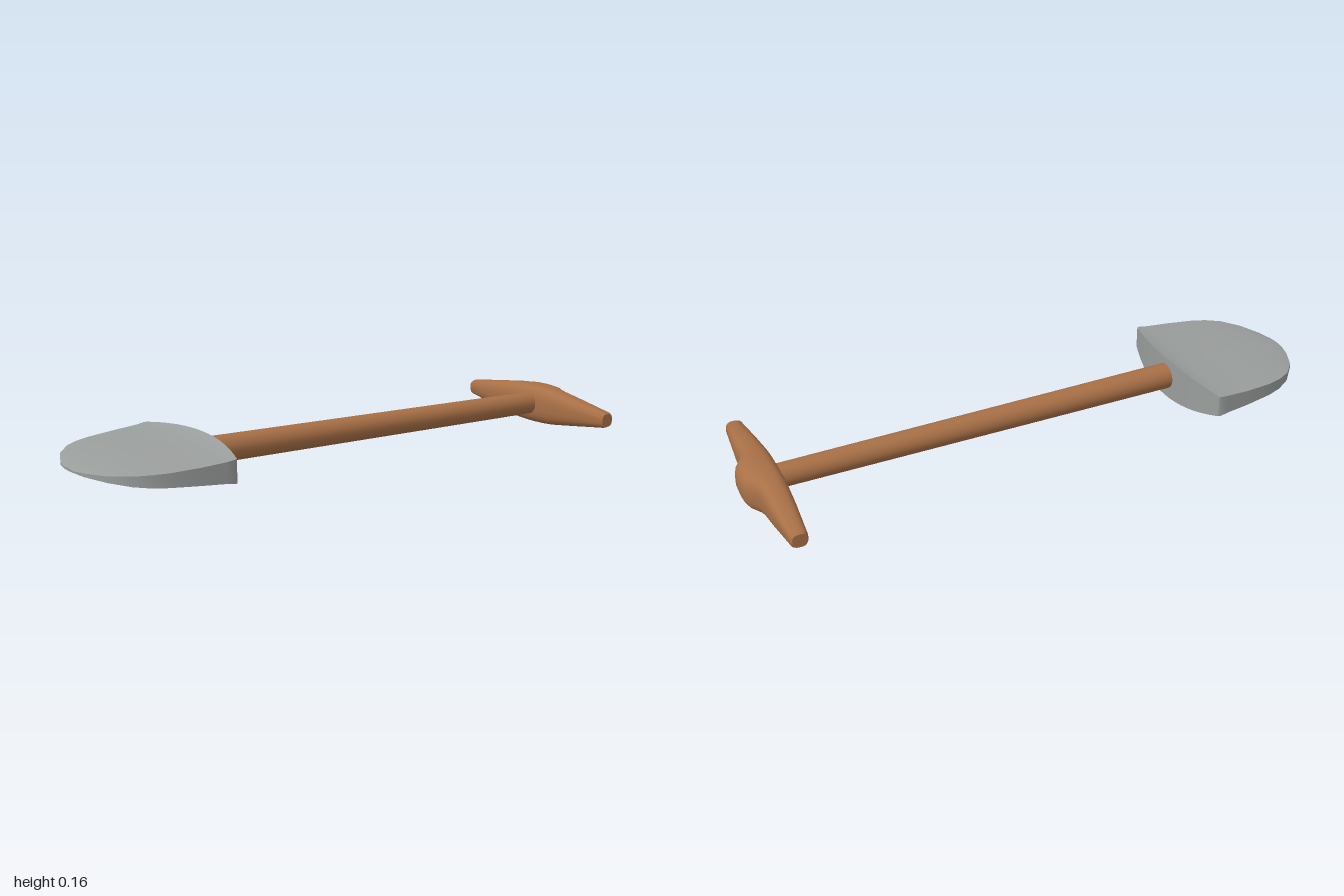
import * as THREE from 'three';
import { toCreasedNormals } from 'three/addons/utils/BufferGeometryUtils.js';

const wood = new THREE.MeshStandardMaterial({ color: 0xa87046 });
const metal = new THREE.MeshStandardMaterial({ color: 0x9a9e9c });

// Skin a list of equal rings (counter-clockwise about the loft direction) and close both ends.
function loft(rings, crease) {
  const n = rings[0].length;
  const index = [];
  const quad = (a, b, c, d) => index.push(a, b, c, a, c, d);
  for (let i = 0; i < rings.length - 1; i++) {
    for (let j = 0; j < n; j++) {
      const k = (j + 1) % n;
      quad(i * n + j, i * n + k, (i + 1) * n + k, (i + 1) * n + j);
    }
  }
  const last = (rings.length - 1) * n;
  for (let j = 0; j < n / 2 - 1; j++) {
    quad(n - 1 - j, n - 2 - j, j + 1, j);
    quad(last + j, last + j + 1, last + n - 2 - j, last + n - 1 - j);
  }
  const geometry = new THREE.BufferGeometry();
  geometry.setAttribute('position', new THREE.Float32BufferAttribute(rings.flat(2), 3));
  geometry.setIndex(index);
  return toCreasedNormals(geometry, crease);
}

function makeBlade() {
  // x, half width, top centre, top edge, bottom edge, bottom centre
  const stations = [
    [-1.0, 0.035, 0.112, 0.11, 0.105, 0.103],
    [-0.985, 0.085, 0.116, 0.112, 0.1, 0.096],
    [-0.95, 0.16, 0.121, 0.115, 0.095, 0.085],
    [-0.9, 0.215, 0.128, 0.12, 0.088, 0.07],
    [-0.85, 0.244, 0.133, 0.123, 0.083, 0.059],
    [-0.8, 0.26, 0.137, 0.125, 0.08, 0.05],
    [-0.7, 0.275, 0.143, 0.13, 0.074, 0.036],
    [-0.62, 0.28, 0.15, 0.135, 0.068, 0.025],
    [-0.59, 0.283, 0.157, 0.139, 0.064, 0.019],
    [-0.58, 0.279, 0.161, 0.14, 0.063, 0.016],
  ];
  const steps = 16;
  const rings = stations.map(([x, w, topC, topE, botE, botC]) => {
    const bow = 0.045 * ((x + 1) / 0.42) ** 2; // rear edge bulges toward the shaft
    const point = (u, edge, centre) => {
      const arch = 1 - u * u;
      const z = w * u;
      return [x + bow * arch, edge + (centre - edge) * arch - 0.02 * z, z - 0.017];
    };
    const ring = [];
    for (let i = 0; i <= steps; i++) ring.push(point(-1 + (2 * i) / steps, topE, topC));
    for (let i = steps; i >= 0; i--) ring.push(point(-1 + (2 * i) / steps, botE, botC));
    return ring;
  });
  return loft(rings, 0.75);
}

function makeGrip() {
  // distance from middle, half depth, half height, extra depth of the end knob
  const half = [
    [0.355, 0.024, 0.023, 0],
    [0.345, 0.029, 0.028, 0],
    [0.2, 0.042, 0.05, 0],
    [0.12, 0.047, 0.062, 0],
    [0.09, 0.049, 0.066, 0.007],
    [0.06, 0.05, 0.068, 0.028],
    [0.04, 0.05, 0.069, 0.034],
  ];
  const stations = [
    ...half.map(([z, ...r]) => [-z, ...r]),
    [0, 0.05, 0.07, 0.036],
    ...half.slice().reverse(),
  ];
  const sides = 24;
  const soft = (v) => Math.sign(v) * Math.abs(v) ** 0.7;
  const rings = stations.map(([z, depth, height, knob]) => {
    const ring = [];
    for (let j = 0; j < sides; j++) {
      const a = ((j + 0.5) / sides) * Math.PI * 2;
      const c = soft(Math.cos(a));
      ring.push([0.914 + c * (c > 0 ? depth + knob : depth),
        0.072 - 0.012 * z + height * soft(Math.sin(a)), z - 0.002]);
    }
    return ring;
  });
  return loft(rings, 0.75);
}

export function createModel() {
  const model = new THREE.Group();
  model.name = 'shovel';
  const add = (name, geometry, material) => {
    const mesh = new THREE.Mesh(geometry, material);
    mesh.name = name;
    model.add(mesh);
    return mesh;
  };

  add('blade', makeBlade(), metal);
  add('grip', makeGrip(), wood);

  // Slightly tapered, slightly tilted shaft from blade to grip
  const start = new THREE.Vector3(-0.57, 0.094, -0.021);
  const end = new THREE.Vector3(0.9, 0.077, -0.003);
  const direction = end.clone().sub(start);
  const shaft = add('shaft', new THREE.CylinderGeometry(0.04, 0.045, direction.length(), 24), wood);
  shaft.position.addVectors(start, end).multiplyScalar(0.5);
  shaft.quaternion.setFromUnitVectors(new THREE.Vector3(0, 1, 0), direction.normalize());

  return model;
}
